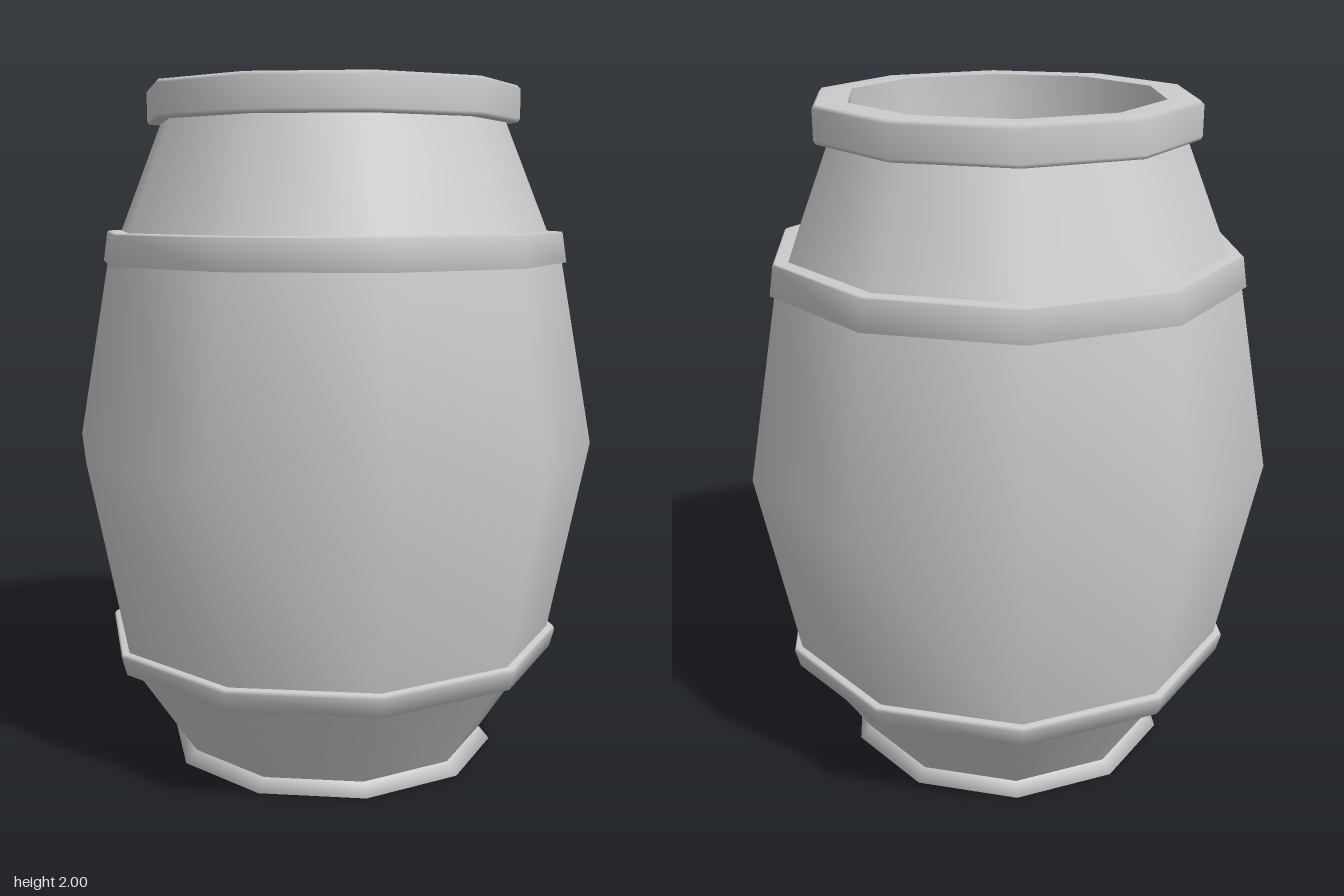
import * as THREE from 'three';

const SIDES = 10;
const material = new THREE.MeshStandardMaterial({ color: 0xcccccc, side: THREE.DoubleSide });

// Ten-sided turned part from [radius, height] points, with a corner on the x axis
function turned(name, profile) {
  const points = profile.map(([r, y]) => new THREE.Vector2(r, y));
  const mesh = new THREE.Mesh(new THREE.LatheGeometry(points, SIDES, Math.PI / 2), material);
  mesh.name = name;
  return mesh;
}

export function createModel() {
  const group = new THREE.Group();
  group.name = 'barrelPot';

  // Underside with a shallow recess, and the flared foot
  group.add(turned('underside', [[0, 0.02], [0.455, 0.02], [0.46, 0]]));
  group.add(turned('foot', [[0.46, 0], [0.5, 0], [0.465, 0.035]]));

  // Tapered base, bulging belly and sloping shoulder
  group.add(turned('base', [[0.465, 0.035], [0.655, 0.32]]));
  group.add(turned('belly', [[0.668, 0.36], [0.785, 0.95], [0.685, 1.5]]));
  group.add(turned('shoulder', [[0.65, 1.56], [0.515, 1.895]]));

  // Hoops around the belly
  group.add(turned('lowerHoop', [[0.645, 0.31], [0.68, 0.31], [0.695, 0.365], [0.69, 0.375], [0.66, 0.375]]));
  group.add(turned('upperHoop', [[0.67, 1.49], [0.7, 1.49], [0.687, 1.575], [0.682, 1.58], [0.64, 1.58]]));

  // Thick lip
  group.add(turned('lip', [[0.505, 1.895], [0.55, 1.895], [0.555, 1.905], [0.555, 1.99], [0.545, 2], [0.455, 2]]));

  // Hollow inside with a closed floor
  group.add(turned('inside', [[0.455, 2], [0.455, 0.6], [0, 0.6]]));

  return group;
}
